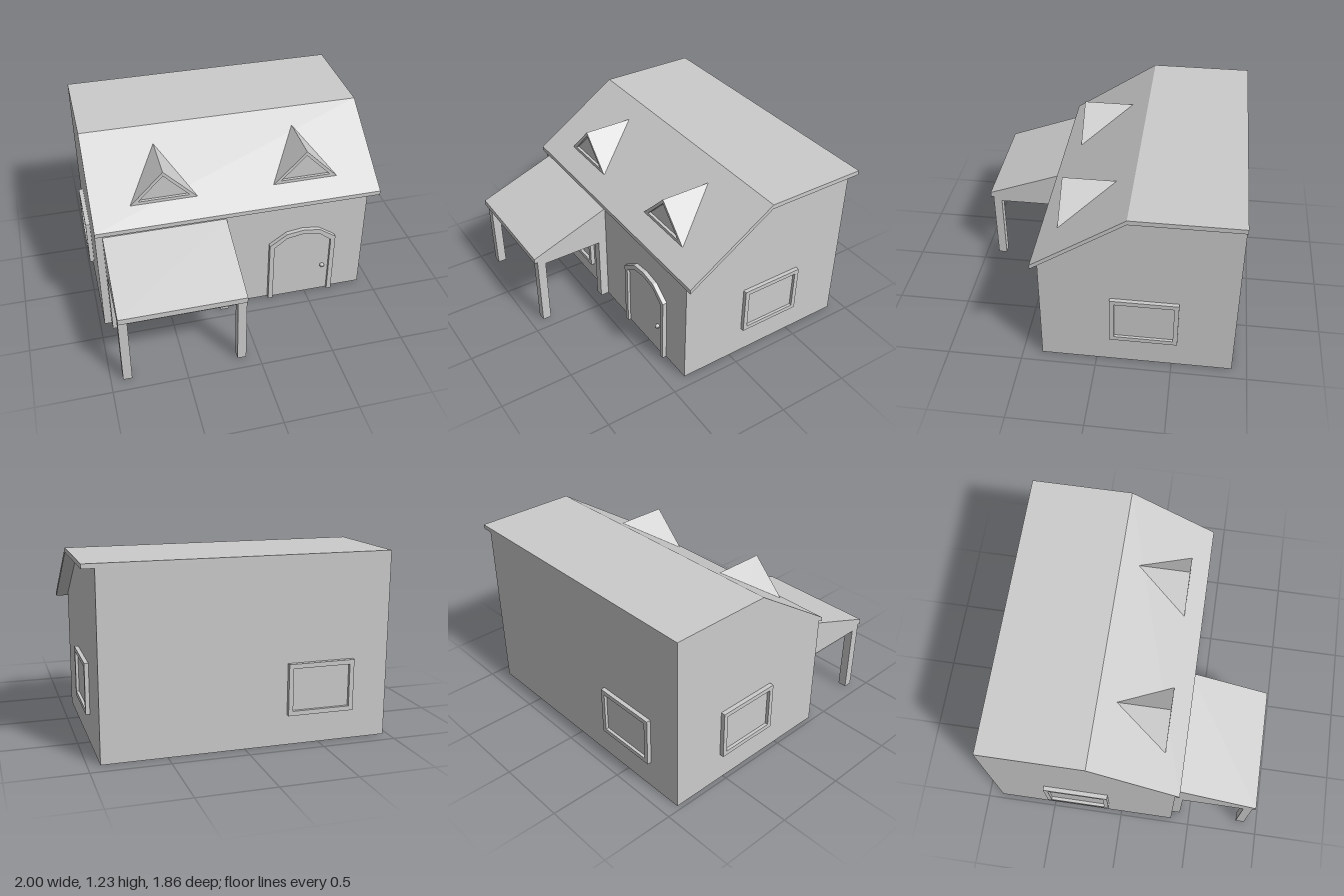
import * as THREE from 'three';

const material = new THREE.MeshStandardMaterial({ color: 0xcccccc, flatShading: true });

function addMesh(parent, name, geometry) {
  const mesh = new THREE.Mesh(geometry, material);
  mesh.name = name;
  parent.add(mesh);
  return mesh;
}

const toShape = (points) => new THREE.Shape(points.map(([x, y]) => new THREE.Vector2(x, y)));

// Extrude an outline (x, y) from z0 to z1, with an optional hole
function extrudeZ(points, z0, z1, hole) {
  const shape = toShape(points);
  if (hole) shape.holes.push(toShape(hole));
  return new THREE.ExtrudeGeometry(shape, { depth: z1 - z0, bevelEnabled: false }).translate(0, 0, z0);
}

// Extrude a side profile (z, y) from x0 to x1
function extrudeX(profile, x0, x1) {
  return extrudeZ(profile.map(([z, y]) => [-z, y]), x0, x1).rotateY(Math.PI / 2);
}

function box(x0, x1, y0, y1, z0, z1) {
  return new THREE.BoxGeometry(x1 - x0, y1 - y0, z1 - z0)
    .translate((x0 + x1) / 2, (y0 + y1) / 2, (z0 + z1) / 2);
}

// Framed window facing +z, centred at its own origin
function createWindow(name, width, height, depth) {
  const group = new THREE.Group();
  group.name = name;
  const rect = (w, h) => [[-w, -h], [w, -h], [w, h], [-w, h]];
  const w = width / 2, h = height / 2, border = 0.03;
  addMesh(group, 'windowFrame', extrudeZ(rect(w, h), 0, depth, rect(w - border, h - border)));
  addMesh(group, 'windowPane', box(-w + border, w - border, -h + border, h - border, 0, 0.008));
  return group;
}

// Triangular dormer running back into the roof slope
function createDormer(name, x) {
  const group = new THREE.Group();
  group.name = name;
  group.position.x = x;
  const outer = [[-0.225, 0.92], [0.225, 0.92], [0, 1.15]];
  const inner = [[-0.173, 0.942], [0.173, 0.942], [0, 1.12]];
  addMesh(group, 'dormerBody', extrudeZ(outer, -0.08, 0.25));
  addMesh(group, 'dormerFrame', extrudeZ(outer, 0.25, 0.27, inner));
  return group;
}

// Arched outline symmetric about x = 0
function archOutline(halfWidth, spring, shoulder, top) {
  return [
    [-halfWidth, 0], [halfWidth, 0], [halfWidth, spring], [0.118, shoulder],
    [0, top], [-0.118, shoulder], [-halfWidth, spring],
  ];
}

export function createModel() {
  const house = new THREE.Group();
  house.name = 'house';

  // Walls and roof
  addMesh(house, 'walls', extrudeX(
    [[-0.9, 0], [0.37, 0], [0.37, 0.82], [-0.2, 1.2], [-0.9, 1.2]], -0.97, 0.92));
  addMesh(house, 'roof', extrudeX(
    [[-0.9, 1.2], [-0.2, 1.2], [0.4, 0.8], [0.4, 0.83], [-0.2, 1.23], [-0.9, 1.23]], -0.97, 1));
  house.add(createDormer('rightDormer', -0.485), createDormer('leftDormer', 0.495));

  // Windows: one on each wall
  const windows = [
    ['frontWindow', [-0.5, 0.313, 0.37], 0, 0.335, 0.03],
    ['backWindow', [-0.505, 0.37, -0.9], Math.PI, 0.34, 0.028],
    ['leftWindow', [0.92, 0.37, -0.31], Math.PI / 2, 0.34, 0.027],
    ['rightWindow', [-0.97, 0.37, -0.31], -Math.PI / 2, 0.34, 0.03],
  ];
  for (const [name, position, turn, height, depth] of windows) {
    const win = createWindow(name, 0.445, height, depth);
    win.position.set(...position);
    win.rotation.y = turn;
    house.add(win);
  }

  // Arched door with surround and knob
  const door = new THREE.Group();
  door.name = 'door';
  door.position.set(0.46, 0, 0.37);
  house.add(door);
  const opening = archOutline(0.207, 0.465, 0.536, 0.556);
  const frame = archOutline(0.24, 0.488, 0.573, 0.589);
  // Start the opening slightly above the ground-line split: the surround is open at the bottom
  const surround = [...frame.slice(1), frame[0], opening[0], ...opening.slice(2).reverse(), opening[1]];
  addMesh(door, 'doorSurround', extrudeZ(surround, 0, 0.03));
  addMesh(door, 'doorPanel', extrudeZ(opening, 0, 0.01));
  addMesh(door, 'doorKnob', new THREE.SphereGeometry(0.017, 10, 8).translate(0.16, 0.228, 0.02));

  // Porch: sloping slab, side gables, front beam and four posts
  const porch = new THREE.Group();
  porch.name = 'porch';
  house.add(porch);
  const left = -0.085, right = -0.92, post = 0.06;
  addMesh(porch, 'porchRoof', extrudeX(
    [[0.37, 0.73], [0.93, 0.52], [0.93, 0.56], [0.37, 0.77]], right, left));
  addMesh(porch, 'porchBeam', box(right + post, left - post, 0.497, 0.54, 0.85, 0.91));
  for (const x of [right, left - post]) {
    addMesh(porch, 'porchGable', extrudeX(
      [[0.37, 0.493], [0.91, 0.493], [0.91, 0.53], [0.37, 0.735]], x, x + post));
    for (const z of [0.37, 0.85]) {
      addMesh(porch, 'porchPost', box(x, x + post, 0, 0.495, z, z + post));
    }
  }
  return house;
}
